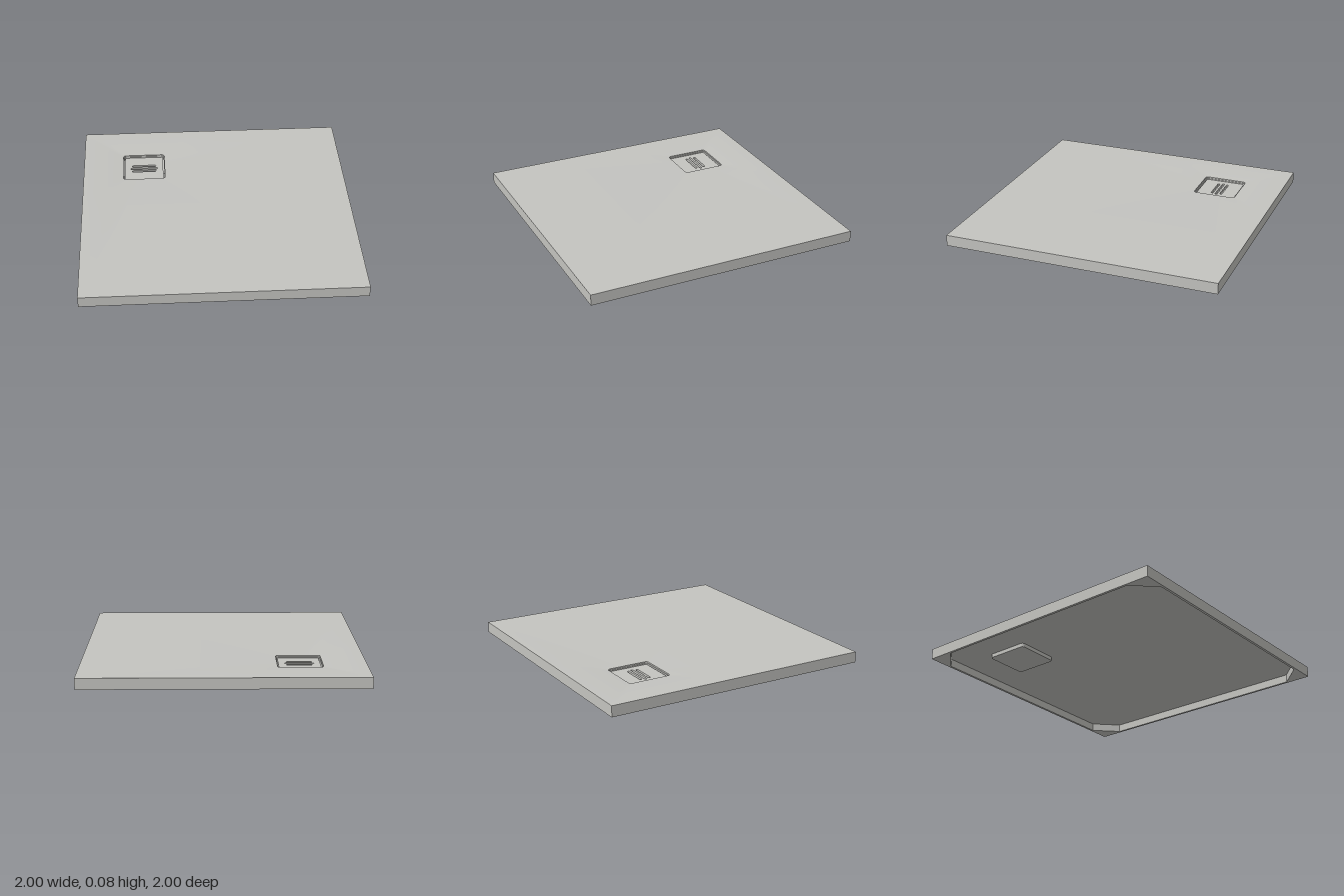
import * as THREE from 'three';
import { toCreasedNormals } from 'three/addons/utils/BufferGeometryUtils.js';

const DX = -0.535, DZ = -0.535;   // drain centre
const HOLE = 0.16, HOLE_R = 0.02; // half size and corner radius of the recess
const TOP = 0.08, DIP = 0.01, SHEET = 0.06;

// Closed outline with rounded corners; w and h are half sizes
function roundedRect(target, w, h, r, cx = 0, cy = 0) {
  const q = Math.PI / 2;
  target.moveTo(cx + w, cy - h + r);
  target.absarc(cx + w - r, cy + h - r, r, 0, q);
  target.absarc(cx - w + r, cy + h - r, r, q, 2 * q);
  target.absarc(cx - w + r, cy - h + r, r, 2 * q, 3 * q);
  target.absarc(cx + w - r, cy - h + r, r, 3 * q, 4 * q);
  target.closePath();
  return target;
}

// Square outline with cut corners
function cutSquare(target, h, c) {
  const pts = [[h, h - c], [h - c, h], [c - h, h], [-h, h - c], [-h, c - h], [c - h, -h], [h - c, -h], [h, c - h]];
  return target.setFromPoints(pts.map(p => new THREE.Vector2(...p)));
}

// Extrude a plan outline upwards from y0 to y1
function slab(shape, y0, y1) {
  const g = new THREE.ExtrudeGeometry(shape, { depth: y1 - y0, bevelEnabled: false, curveSegments: 6 });
  g.rotateX(-Math.PI / 2);
  return g.translate(0, y0, 0);
}

// Distance from the drain centre to the rounded recess edge
function holeDistance(a) {
  const c = Math.abs(Math.cos(a)), s = Math.abs(Math.sin(a));
  const t = HOLE / Math.max(c, s), k = HOLE - HOLE_R;
  if (Math.min(c, s) * t <= k) return t;
  const b = k * (c + s);
  return b + Math.sqrt(b * b - 2 * k * k + HOLE_R * HOLE_R);
}

// Distance from the drain centre to the tray edge
function edgeDistance(a) {
  const c = Math.cos(a), s = Math.sin(a);
  const tx = Math.abs(c) < 1e-9 ? Infinity : (Math.sign(c) - DX) / c;
  const tz = Math.abs(s) < 1e-9 ? Infinity : (Math.sign(s) - DZ) / s;
  return Math.min(tx, tz);
}

// Outer walls, gently dished top and recess walls as one lofted skin
function traySkin() {
  const full = Math.PI * 2, angles = [];
  for (let i = 0; i < 72; i++) angles.push(i / 72 * full);
  for (let q = 0; q < 4; q++) {
    for (const d of [-3.8, -1.9, 1.9, 3.8]) angles.push((45 + 90 * q + d) * Math.PI / 180);
  }
  for (const [x, z] of [[1, -1], [-1, 1]]) angles.push((Math.atan2(z - DZ, x - DX) + full) % full);
  angles.sort((a, b) => a - b);

  const rings = [[1, SHEET]];
  for (const t of [1, 0.85, 0.7, 0.5, 0.35, 0.22, 0.12, 0.05, 0]) rings.push([t, TOP - DIP * (1 - t) ** 2]);
  rings.push([0, SHEET - 0.002]);

  const pos = [], index = [], n = angles.length;
  rings.forEach(([t, y], i) => angles.forEach((a, j) => {
    const d = THREE.MathUtils.lerp(holeDistance(a), edgeDistance(a), t);
    pos.push(DX + d * Math.cos(a), y, DZ + d * Math.sin(a));
    if (i === rings.length - 1) return;
    const p = i * n + j, q = i * n + (j + 1) % n;
    index.push(p, p + n, q, p + n, q + n, q);
  }));
  const g = new THREE.BufferGeometry();
  g.setAttribute('position', new THREE.Float32BufferAttribute(pos, 3));
  g.setIndex(index);
  return toCreasedNormals(g, 0.5);
}

export function createModel() {
  const model = new THREE.Group();
  model.name = 'showerTray';
  const stone = new THREE.MeshStandardMaterial({ color: 0xc4c4c0 });
  stone.name = 'light grey';
  const add = (name, geometry, parent = model) => {
    const m = new THREE.Mesh(geometry, stone);
    m.name = name;
    parent.add(m);
    return m;
  };

  add('traySurface', traySkin());

  // Rim under the tray, wider at the corners
  const rim = new THREE.Shape([[-1, -1], [1, -1], [1, 1], [-1, 1]].map(p => new THREE.Vector2(...p)));
  rim.holes.push(cutSquare(new THREE.Path(), 0.982, 0.16));
  add('rim', slab(rim, 0, SHEET));

  // Flat underside inside the rim
  const under = new THREE.ShapeGeometry(cutSquare(new THREE.Shape(), 0.982, 0.16));
  under.rotateX(Math.PI / 2);
  const underHole = cutSquare(new THREE.Shape(), 0.982, 0.16);
  underHole.holes.push(roundedRect(new THREE.Path(), 0.16, 0.16, 0.02, DX, DZ));
  under.dispose();
  const underside = new THREE.ShapeGeometry(underHole, 6);
  underside.rotateX(Math.PI / 2).translate(0, SHEET - 0.002, 0);
  add('underside', underside);

  // Drain: pot hanging below the tray and a slotted cover
  const drain = new THREE.Group();
  drain.name = 'drain';
  drain.position.set(DX, 0, DZ);
  model.add(drain);

  const pot = roundedRect(new THREE.Shape(), 0.162, 0.162, 0.022);
  pot.holes.push(roundedRect(new THREE.Path(), 0.155, 0.155, 0.016));
  add('drainPotWall', slab(pot, 0.03, SHEET), drain);
  add('drainPotFloor', slab(roundedRect(new THREE.Shape(), 0.155, 0.155, 0.016), 0.03, 0.035), drain);

  const cover = roundedRect(new THREE.Shape(), 0.148, 0.148, 0.012);
  for (const [z, half] of [[-0.034, 0.092], [0, 0.104], [0.034, 0.092]]) {
    cover.holes.push(roundedRect(new THREE.Path(), half, 0.009, 0.0089, 0, z));
  }
  add('drainCover', slab(cover, 0.035, 0.054), drain);

  return model;
}
